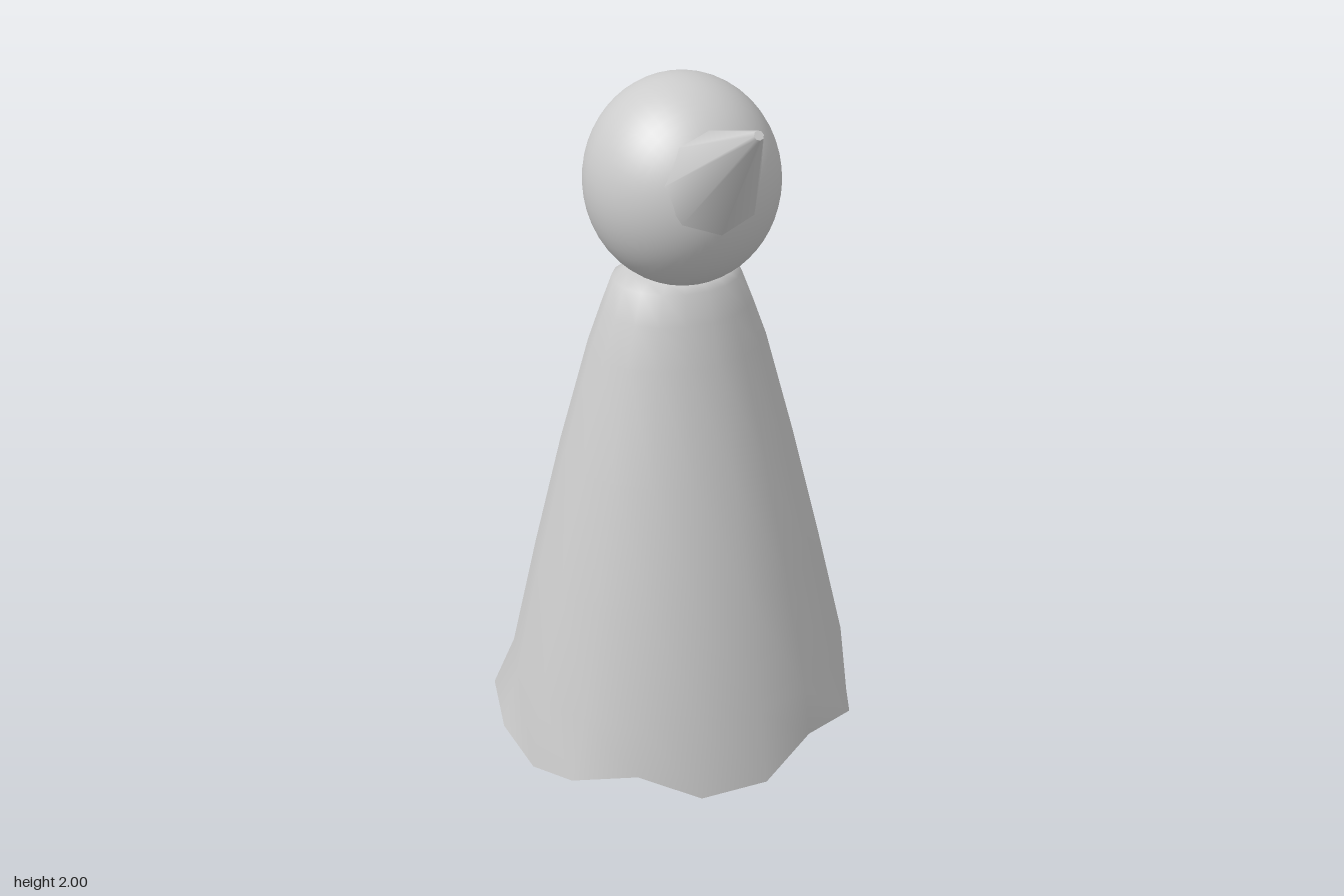
import * as THREE from 'three';
import { mergeVertices } from 'three/addons/utils/BufferGeometryUtils.js';

const lightGrey = new THREE.MeshStandardMaterial({ color: 0xcccccc, side: THREE.DoubleSide });
lightGrey.name = 'lightGrey';

// Skin a list of closed rings of [x, y, z] points
function loft(rings) {
  const n = rings[0].length, index = [];
  for (let j = 0; j < rings.length - 1; j++) {
    for (let i = 0; i < n; i++) {
      const k = (i + 1) % n;
      const a = j * n + i, b = j * n + k, c = a + n, d = b + n;
      index.push(a, b, c, b, d, c);
    }
  }
  const g = new THREE.BufferGeometry();
  g.setAttribute('position', new THREE.Float32BufferAttribute(rings.flat(2), 3));
  g.setIndex(index);
  const merged = mergeVertices(g, 1e-5);
  merged.computeVertexNormals();
  return merged;
}

export function createModel() {
  const model = new THREE.Group();
  model.name = 'hoodedFigure';
  const add = (name, geometry, parent = model) => {
    const mesh = new THREE.Mesh(geometry, lightGrey);
    mesh.name = name;
    parent.add(mesh);
    return mesh;
  };

  // Cloak: uneven hem, mirrored, drawn up into round cross-sections
  const half = [
    [0.1, 0.02, 0.425], [0.265, 0.088, 0.35], [0.435, 0.063, 0.27], [0.505, 0.006, 0.11],
    [0.548, 0.05, -0.045], [0.53, 0.09, -0.21], [0.44, 0.055, -0.305], [0.285, 0.01, -0.468],
    [0.1, 0.08, -0.505],
  ];
  const hem = [...half, ...half.map(([x, y, z]) => [-x, y, z]).reverse()];
  const angles = hem.map(([x, , z]) => Math.atan2(x / 0.548, (z + 0.04) / 0.465));
  const sections = [ // height, half width, half depth, centre z
    [0.25, 0.5, 0.435, -0.032], [0.6, 0.417, 0.367, -0.035], [0.94, 0.332, 0.288, -0.037],
    [1.25, 0.247, 0.203, -0.035], [1.36, 0.207, 0.172, -0.036], [1.44, 0.176, 0.148, -0.037],
    [1.46, 0.14, 0.118, -0.035], [1.465, 0.05, 0.05, -0.02],
  ];
  const cloakRings = sections.map(([y, rx, rz, cz]) =>
    angles.map(a => [rx * Math.sin(a), y, cz + rz * Math.cos(a)]));
  add('cloak', loft([hem, ...cloakRings]));

  // Head: rings from the front pole to the face opening at the back
  const N = 48, CY = 1.715, RX = 0.255, RY = 0.275, RZ = 0.26;
  const ellipse = (cy, rx, ry, zAt) => Array.from({ length: N }, (_, i) => {
    const p = -i / N * Math.PI * 2;
    const x = rx * Math.cos(p), y = cy + ry * Math.sin(p);
    return [x, y, zAt(x, y)];
  });
  const surfaceZ = (x, y) =>
    RZ * Math.sqrt(Math.max(0, 1 - (x / RX) ** 2 - ((y - CY) / RY) ** 2));
  const headRings = [];
  for (let j = 0; j <= 14; j++) {
    const t = j / 14 * Math.PI / 2;
    headRings.push(ellipse(CY, RX * Math.sin(t), RY * Math.sin(t), () => RZ * Math.cos(t)));
  }
  const END = 0.95, lerp = THREE.MathUtils.lerp;
  for (let j = 1; j <= 12; j++) {
    const w = (1 - Math.cos(END * j / 12)) / (1 - Math.cos(END));
    headRings.push(ellipse(lerp(CY, 1.687, w), lerp(RX, 0.152, w), lerp(RY, 0.212, w),
      (x, y) => -surfaceZ(x, y)));
  }
  add('head', loft(headRings));

  // Raised lip round the opening, recess wall and flat face
  const headEdge = headRings[headRings.length - 1];
  const crest = (scale, lift) => headEdge.map(([x, y, z]) =>
    [x * scale, 1.687 + (y - 1.687) * scale, z - lift]);
  add('openingLip', loft([headEdge, crest(0.98, 0.02), crest(0.95, 0.036), crest(0.92, 0.034)]));
  const FACE_Z = -0.12;
  const faceEdge = ellipse(1.687, 0.13, 0.19, () => FACE_Z);
  add('recessWall', loft([crest(0.92, 0.034), faceEdge]));
  add('face', loft([faceEdge, ellipse(1.687, 0, 0, () => FACE_Z)]));

  // Small raised face details: almond eyes, forehead dome and an arc of beads
  const details = new THREE.Group();
  details.name = 'faceDetails';
  model.add(details);
  const bead = new THREE.SphereGeometry(1, 12, 8);
  const detail = (name, x, y, rx, ry, tilt = 0) => {
    const m = add(name, bead, details);
    m.position.set(x, y, FACE_Z);
    m.scale.set(rx, ry, 0.008);
    m.rotation.z = tilt;
  };
  for (const s of [1, -1]) detail('eye', s * 0.055, 1.69, 0.033, 0.011, s * 0.2);
  detail('foreheadDome', 0, 1.745, 0.024, 0.017);
  for (let i = 0; i < 6; i++) {
    const a = (0.05 + 0.9 * i / 5) * Math.PI;
    detail('foreheadBead', 0.06 * Math.cos(a), 1.745 + 0.05 * Math.sin(a), 0.01, 0.009);
  }

  // Beak: eight-sided cone tilted upwards, with a blunt tip
  const base = new THREE.Vector3(0, 1.775, 0.195);
  const axis = new THREE.Vector3(0, 0.22, 0.295).normalize();
  const beakGeometry = new THREE.CylinderGeometry(0.012, 0.134, 0.362, 8, 1);
  beakGeometry.translate(0, 0.181, 0);
  const beak = add('beak', beakGeometry);
  beak.position.copy(base);
  beak.quaternion.setFromUnitVectors(new THREE.Vector3(0, 1, 0), axis);

  return model;
}
